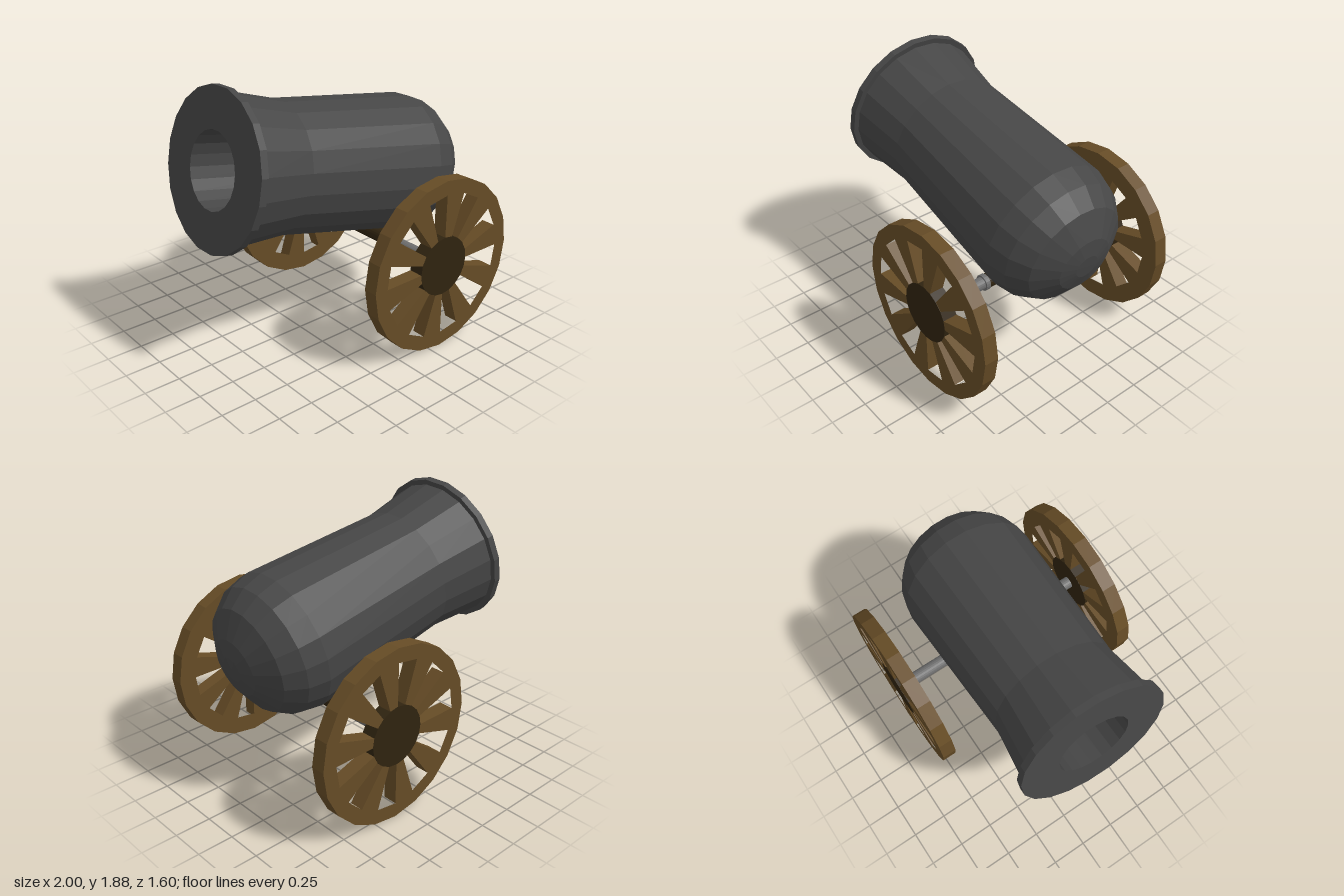
import * as THREE from 'three';

const SIDES = 20;
const STEP = (Math.PI * 2) / SIDES;

const barrelIron = new THREE.MeshStandardMaterial({ color: 0x464646 });
const axleSteel = new THREE.MeshStandardMaterial({ color: 0x6e6e6e });
const wheelWood = new THREE.MeshStandardMaterial({ color: 0x664c26 });
const darkWood = new THREE.MeshStandardMaterial({ color: 0x302410 });

// Named mesh with faceted normals
function part(name, geometry, material) {
  const flat = geometry.index ? geometry.toNonIndexed() : geometry;
  flat.computeVertexNormals();
  const mesh = new THREE.Mesh(flat, material);
  mesh.name = name;
  return mesh;
}

// Point at a radius and a step clockwise from the top
const polar = (r, k) => new THREE.Vector2(r * Math.sin(k * STEP), r * Math.cos(k * STEP));
const ring = (r) => Array.from({ length: SIDES }, (_, k) => polar(r, k));

// Cylinder lying along z
function rod(name, radius, z0, z1, material) {
  const g = new THREE.CylinderGeometry(radius, radius, z1 - z0, SIDES);
  g.rotateX(Math.PI / 2).translate(0, 0, (z0 + z1) / 2);
  return part(name, g, material);
}

// Wheel with its inner face at z = 0 and outer face at z = 0.1
function createWheel() {
  const wheel = new THREE.Group();
  const extrude = { depth: 0.1, bevelEnabled: false };

  const rimShape = new THREE.Shape(ring(0.6125));
  rimShape.holes.push(new THREE.Path(ring(0.51)));
  const rim = new THREE.ExtrudeGeometry(rimShape, extrude);
  // The rim opening narrows towards the inner face
  const p = rim.attributes.position;
  for (let i = 0; i < p.count; i++) {
    if (p.getZ(i) < 0.05 && Math.hypot(p.getX(i), p.getY(i)) < 0.55) {
      p.setXY(i, p.getX(i) * 0.95, p.getY(i) * 0.95);
    }
  }
  wheel.add(part('rim', rim, wheelWood));

  // Wedge spokes fill every other step
  for (let k = 0; k < SIDES; k += 2) {
    const shape = new THREE.Shape([polar(0.2, k), polar(0.51, k), polar(0.51, k + 1), polar(0.2, k + 1)]);
    wheel.add(part('spoke', new THREE.ExtrudeGeometry(shape, extrude), wheelWood));
  }
  wheel.add(rod('hub', 0.21, -0.001, 0.101, darkWood));
  return wheel;
}

export function createModel() {
  const model = new THREE.Group();
  model.name = 'cannon';

  // Barrel: bore, muzzle band, flared body and rounded breech
  const profile = [
    [0, 0.9], [0.257, 0.9], [0.257, 0], [0.533, 0], [0.533, 0.05], [0.497, 0.05],
    [0.447, 0.45], [0.49, 1.53], [0.455, 1.675], [0.367, 1.8], [0.2, 1.895],
    [0.085, 1.92], [0, 1.922],
  ].map(([r, t]) => new THREE.Vector2(r, t));
  const roll = THREE.MathUtils.degToRad(5);
  const barrel = part('barrel', new THREE.LatheGeometry(profile, SIDES, roll), barrelIron);
  const axis = new THREE.Vector3(0.982, -0.19, 0.025).normalize();
  barrel.quaternion.setFromUnitVectors(new THREE.Vector3(0, 1, 0), axis);
  barrel.position.set(-0.898, 1.358, -0.03);
  model.add(barrel);

  // Undercarriage: axle beam, then rod, collar and wheel on each side
  const carriage = new THREE.Group();
  carriage.name = 'carriage';
  carriage.position.set(0.3425, 0.6125, 0);
  carriage.add(rod('axleBeam', 0.052, -0.3, 0.3, darkWood));
  for (const side of [1, -1]) {
    const half = new THREE.Group();
    half.name = side > 0 ? 'frontHalfAxle' : 'backHalfAxle';
    half.add(rod('axleRod', 0.044, 0.3, 0.71, axleSteel));
    half.add(rod('axleCollar', 0.057, 0.3, 0.333, axleSteel));
    const wheel = createWheel();
    wheel.name = side > 0 ? 'frontWheel' : 'backWheel';
    wheel.position.z = 0.7;
    half.add(wheel);
    half.scale.z = side;
    carriage.add(half);
  }
  model.add(carriage);
  return model;
}
